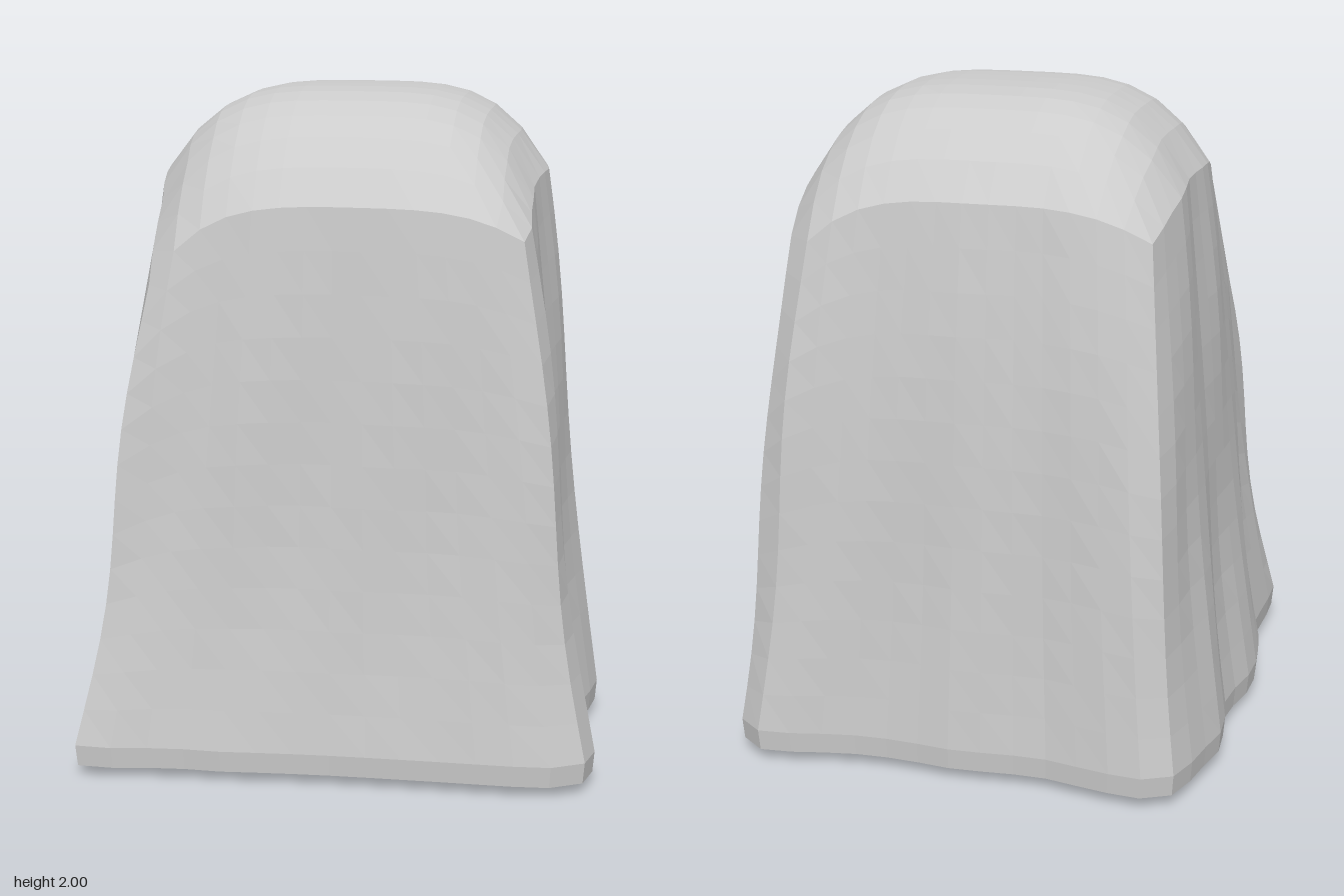
import * as THREE from 'three';

const N = 14;      // cells along each side
const ROWS = 13;   // rows of cells down the drape

// Wavy hem, one run per side, corner to corner, counterclockwise from above (x, z)
const HEM = {
  front: [[-.75, .75], [-.67, .757], [-.55, .74], [-.45, .73], [-.35, .735], [-.2, .725], [0, .715], [.3, .713], [.6, .713], [.7, .695], [.755, .66]],
  left: [[.755, .66], [.785, .59], [.75, .5], [.735, .4], [.71, .27], [.73, .15], [.765, 0], [.735, -.12], [.71, -.25], [.71, -.4], [.71, -.55], [.68, -.7]],
  back: [[.68, -.7], [.64, -.745], [.57, -.765], [.45, -.74], [.3, -.715], [.15, -.715], [0, -.73], [-.25, -.715], [-.4, -.74], [-.57, -.765], [-.67, -.72]],
  right: [[-.67, -.72], [-.7, -.65], [-.72, -.55], [-.76, -.38], [-.735, -.18], [-.775, 0], [-.785, .1], [-.765, .3], [-.73, .45], [-.745, .58], [-.75, .75]],
};

function sampleSide(points) {
  return new THREE.SplineCurve(points.map(([x, z]) => new THREE.Vector2(x, z))).getSpacedPoints(N);
}

// How far a hem point stands out from the straight line between its corners
function folds(run) {
  return run.map((p, i) => p.clone().sub(run[0].clone().lerp(run[N], i / N)));
}

// Height of the top: steeper towards the front, with two opposite corners sunken
function topHeight(u, v) {
  const acrossDrop = .25 * u ** 4;
  const alongDrop = v > 0 ? .3 * v ** 2.7 : .27 * Math.abs(v) ** 3.2;
  const cornerLift = u * v > 0 ? .16 * (u * v) ** 4 : .06 * (u * v) ** 4 - .05 * (u * v) ** 2;
  return 2 - acrossDrop - alongDrop + cornerLift;
}

export function createModel() {
  const sides = Object.fromEntries(Object.entries(HEM).map(([k, v]) => [k, sampleSide(v)]));
  const fold = Object.fromEntries(Object.entries(sides).map(([k, v]) => [k, folds(v)]));
  const pos = [], index = [];
  const quad = (a, b, c, d) => index.push(a, b, c, a, c, d);
  const at = (i, j) => j * (N + 1) + i;

  // Pillow-shaped top, with the folds fading in towards its edge
  for (let j = 0; j <= N; j++) {
    for (let i = 0; i <= N; i++) {
      const u = 2 * i / N - 1, v = 2 * j / N - 1;
      let x = .56 * u * (1 - .03 * v * v);
      let z = .565 * v * (1 - .03 * u * u) - .005;
      x += .35 * Math.abs(u) ** 3 * (u > 0 ? fold.left[N - j].x : fold.right[j].x);
      z += .35 * Math.abs(v) ** 3 * (v > 0 ? fold.front[i].y : fold.back[N - i].y);
      pos.push(x, topHeight(u, v), z);
      if (i < N && j < N) quad(at(i, j), at(i, j + 1), at(i + 1, j + 1), at(i + 1, j));
    }
  }

  // Border of the top in the same order as the hem
  const border = [];
  for (let k = 0; k < N; k++) border.push(at(k, N));
  for (let k = 0; k < N; k++) border.push(at(N, N - k));
  for (let k = 0; k < N; k++) border.push(at(N - k, 0));
  for (let k = 0; k < N; k++) border.push(at(0, k));
  const hem = ['front', 'left', 'back', 'right'].flatMap(k => sides[k].slice(0, N));
  const count = border.length;

  let ring = border;
  const addRing = (place) => {
    const next = [];
    for (let k = 0; k < count; k++) {
      next.push(pos.length / 3);
      pos.push(...place(k));
    }
    for (let k = 0; k < count; k++) {
      const m = (k + 1) % count;
      quad(ring[k], next[k], next[m], ring[m]);
    }
    ring = next;
  };

  // Sides falling from the top to the hem, the back one bulging, all slightly rippled
  for (let r = 1; r <= ROWS; r++) {
    const s = r / ROWS;
    const arch = Math.sin(Math.PI * s);
    const spread = s + .05 * Math.sin(2 * Math.PI * s) - .03 * arch;
    addRing(k => {
      const b = border[k] * 3;
      const w = spread + .04 * arch * Math.sin(1.3 * k + 6 * s);
      const bulge = pos[b + 2] < 0 ? .17 * arch : 0;
      return [
        THREE.MathUtils.lerp(pos[b], hem[k].x, w),
        THREE.MathUtils.lerp(pos[b + 1], .1, s),
        THREE.MathUtils.lerp(pos[b + 2], hem[k].y, w + bulge),
      ];
    });
  }

  // Turned-under hem and slightly dished base
  addRing(k => [hem[k].x * .993, .035, hem[k].y * .993]);
  addRing(k => [hem[k].x * .9, .015, hem[k].y * .9]);
  const centre = pos.length / 3;
  pos.push(0, 0, 0);
  for (let k = 0; k < count; k++) index.push(centre, ring[(k + 1) % count], ring[k]);

  const geometry = new THREE.BufferGeometry();
  geometry.setAttribute('position', new THREE.Float32BufferAttribute(pos, 3));
  geometry.setIndex(index);
  geometry.computeVertexNormals();

  const block = new THREE.Mesh(geometry, new THREE.MeshStandardMaterial({ color: 0xcccccc, flatShading: true }));
  block.name = 'drapedBlock';
  const group = new THREE.Group();
  group.name = 'drapedForm';
  group.add(block);
  return group;
}
